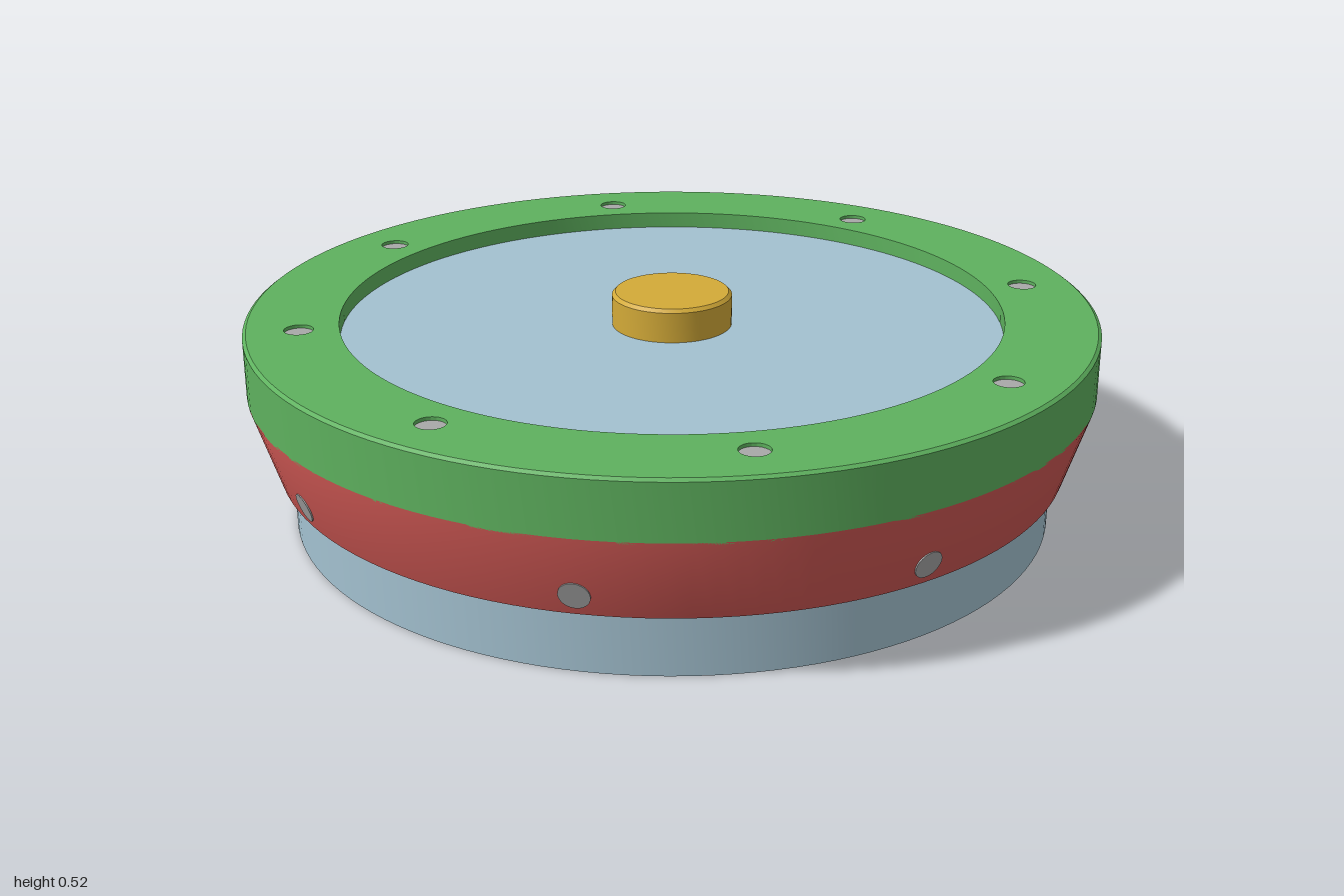
import * as THREE from 'three';
import { toCreasedNormals } from 'three/addons/utils/BufferGeometryUtils.js';

const mat = (name, color) => {
  const m = new THREE.MeshStandardMaterial({ color });
  m.name = name;
  return m;
};

export function createModel() {
  const green = mat('green', 0x5eb15e);
  const red = mat('red', 0xcb5652);
  const blue = mat('pale blue', 0xa3c1d0);
  const gold = mat('gold', 0xd3aa38);
  const steel = mat('steel', 0xa8a8a8);

  const model = new THREE.Group();
  model.name = 'roundHousing';

  const add = (name, geometry, material, parent = model) => {
    const mesh = new THREE.Mesh(geometry, material);
    mesh.name = name;
    parent.add(mesh);
    return mesh;
  };
  // Closed ring turned from a counter-clockwise section of [radius, height] points
  const ring = (points, segments = 128) => {
    const section = [...points, points[0]].map(([r, y]) => new THREE.Vector2(r, y));
    return toCreasedNormals(new THREE.LatheGeometry(section, segments), 0.5);
  };
  const circleHole = (x, y, r) => {
    const path = new THREE.Path();
    path.absarc(x, y, r, 0, Math.PI * 2, true);
    return path;
  };
  const extrude = (shape, depth, curveSegments) =>
    toCreasedNormals(new THREE.ExtrudeGeometry(shape, { depth, curveSegments, bevelEnabled: false }), 0.5);

  // Lower sleeve, tucked into the red collar
  add('sleeve', ring([[0.866, 0], [0.907, 0], [0.907, 0.285], [0.866, 0.285]]), blue);

  // Tapered collar with an inner flange that carries the plate
  add('collar', ring([
    [0.907, 0.15], [0.94, 0.15], [1, 0.34], [1, 0.345], [0.95, 0.345],
    [0.95, 0.36], [0.785, 0.36], [0.785, 0.28], [0.907, 0.28],
  ]), red);

  // Plate with a centre bore
  add('plate', ring([[0.1, 0.36], [0.87, 0.36], [0.87, 0.44], [0.1, 0.44]]), blue);

  // Clamping ring: outer band plus a lip drilled for eight screws
  add('clampBand', ring([[0.88, 0.34], [1, 0.34], [1, 0.474], [0.992, 0.48], [0.985, 0.44], [0.88, 0.44]]), green);
  const lip = new THREE.Shape();
  lip.absarc(0, 0, 0.992, 0, Math.PI * 2, false);
  lip.holes.push(circleHole(0, 0, 0.78));
  for (let i = 0; i < 8; i++) {
    const a = (i + 0.5) * Math.PI / 4;
    lip.holes.push(circleHole(0.872 * Math.cos(a), 0.872 * Math.sin(a), 0.034));
  }
  const lipMesh = add('clampLip', extrude(lip, 0.04, 64), green);
  lipMesh.rotation.x = -Math.PI / 2;
  lipMesh.position.y = 0.44;

  // Centre button with a split, hollow stem in the bore
  add('button', ring([[0, 0.44], [0.142, 0.44], [0.142, 0.512], [0.134, 0.52], [0, 0.52]], 64), gold);
  for (let i = 0; i < 4; i++) {
    const a = i * Math.PI / 2 + 0.15;
    const b = (i + 1) * Math.PI / 2 - 0.15;
    const arc = new THREE.Shape();
    arc.absarc(0, 0, 0.098, a, b, false);
    arc.absarc(0, 0, 0.074, b, a, true);
    arc.closePath();
    const prong = add('buttonProng', extrude(arc, 0.095, 12), gold);
    prong.rotation.x = -Math.PI / 2;
    prong.position.y = 0.35;
  }

  // Square nut, drilled through
  const nut = new THREE.Shape();
  nut.moveTo(-0.072, -0.06);
  nut.lineTo(0.072, -0.06);
  nut.lineTo(0.072, 0.06);
  nut.lineTo(-0.072, 0.06);
  nut.closePath();
  nut.holes.push(circleHole(0, 0, 0.036));
  const nutGeometry = extrude(nut, 0.07, 16);
  const topScrew = new THREE.CylinderGeometry(0.034, 0.034, 0.198, 24);
  const sideShaft = new THREE.CylinderGeometry(0.03, 0.03, 0.12, 24);
  const sideHead = new THREE.CylinderGeometry(0.034, 0.034, 0.008, 24);
  const taper = Math.atan2(0.06, 0.19);

  for (let i = 0; i < 8; i++) {
    // Radial screw and its nut
    const side = new THREE.Group();
    side.name = 'sideFixing';
    side.rotation.y = i * Math.PI / 4;
    model.add(side);
    add('nut', nutGeometry, gold, side).position.set(0, 0.195, 0.8);
    const shaft = add('sideScrewShaft', sideShaft, steel, side);
    shaft.rotation.x = Math.PI / 2;
    shaft.position.set(0, 0.195, 0.87);
    const head = add('sideScrewHead', sideHead, steel, side);
    head.rotation.x = Math.PI / 2 + taper;
    head.position.set(0, 0.2, 0.954);

    // Vertical screw, sunk slightly below the lip
    const a = (i + 0.5) * Math.PI / 4;
    add('topScrew', topScrew, steel).position.set(0.872 * Math.cos(a), 0.373, 0.872 * Math.sin(a));
  }
  return model;
}
